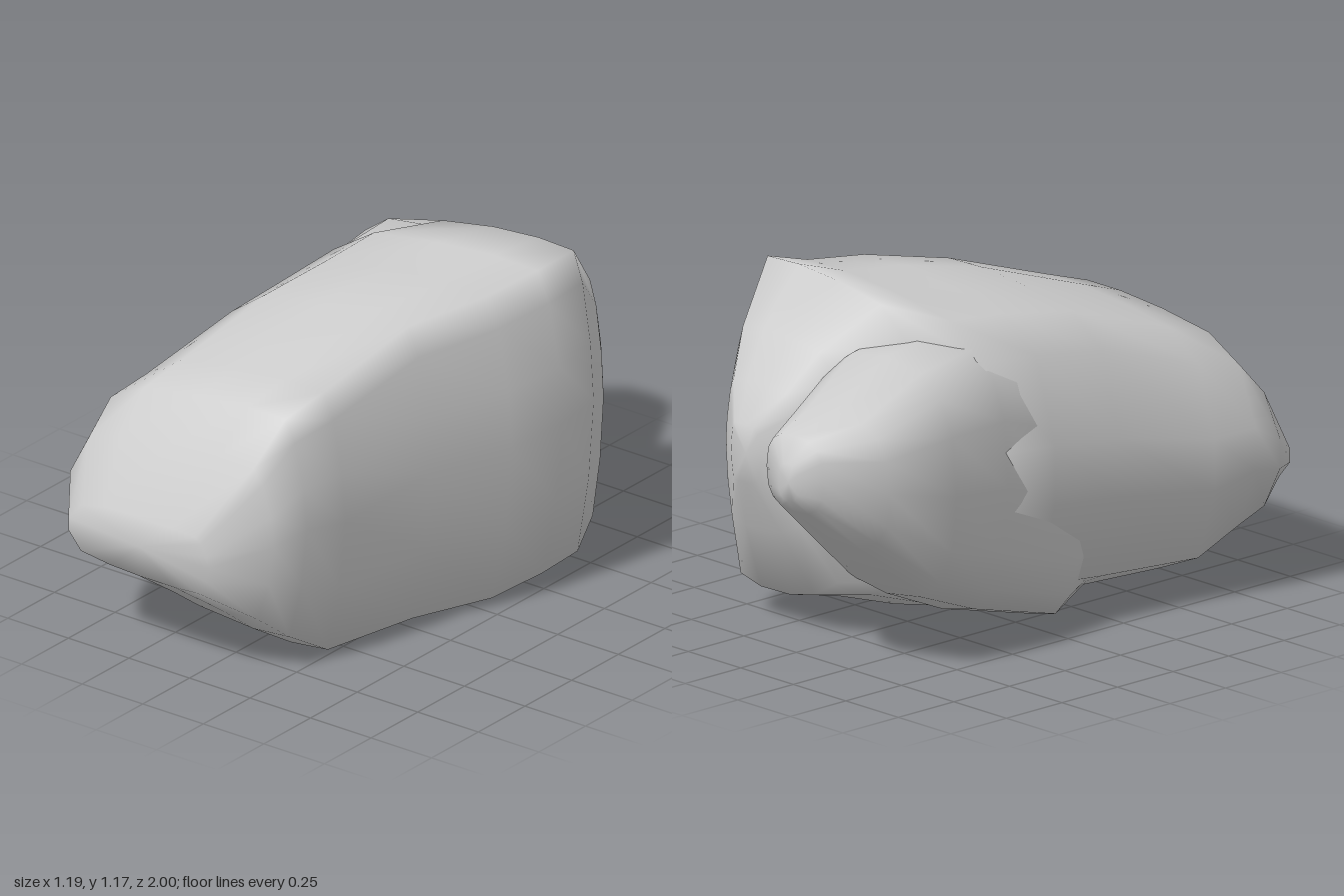
import * as THREE from 'three';

// Outlines in the range -1..1, anticlockwise from the left (+x) flank
const BOXY = [
  [1, 0.05], [0.97, 0.4], [0.89, 0.78], [0.8, 0.97], [0.45, 1], [0, 1], [-0.5, 0.96], [-0.82, 0.77],
  [-1, 0.2], [-1, -0.22], [-0.82, -0.8], [-0.4, -0.95], [0, -1], [0.5, -1], [0.84, -0.94], [0.95, -0.45],
];
const soft = (v) => Math.sign(v) * Math.pow(Math.abs(v), 0.75);
const ROUND = BOXY.map((_, j) => {
  const a = (j / BOXY.length) * Math.PI * 2;
  return [soft(Math.cos(a)), soft(Math.sin(a))];
});

// Cross-sections joined front to back: [z, xMin, xMax, yMin, yMax, flare]
// flare makes the section taller towards +x
function loft(name, outline, sections) {
  const n = outline.length, pos = [], idx = [];
  for (const [z, x0, x1, y0, y1, flare] of sections) {
    for (const [u, v] of outline) {
      const dx = u * (x1 - x0) / 2;
      pos.push((x0 + x1) / 2 + dx, (y0 + y1) / 2 + v * ((y1 - y0) / 2 + flare * dx), z);
    }
  }
  const last = (sections.length - 1) * n;
  for (const s of [sections[0], sections[sections.length - 1]]) {
    pos.push((s[1] + s[2]) / 2, (s[3] + s[4]) / 2, s[0]);
  }
  const front = last + n, back = front + 1;
  for (let j = 0; j < n; j++) {
    const k = (j + 1) % n;
    idx.push(front, j, k, back, last + k, last + j);
    for (let i = 0; i < last; i += n) {
      const a = i + j, b = i + k, c = a + n, d = b + n;
      idx.push(a, c, b, b, c, d);
    }
  }
  const geo = new THREE.BufferGeometry();
  geo.setAttribute('position', new THREE.Float32BufferAttribute(pos, 3));
  geo.setIndex(idx);
  geo.computeVertexNormals();
  const mesh = new THREE.Mesh(geo, new THREE.MeshStandardMaterial({ color: 0xcccccc }));
  mesh.name = name;
  return mesh;
}

export function createModel() {
  const group = new THREE.Group();
  group.name = 'rock';

  // Main mass: blunt front, broad middle, then narrowing into the tall left rear lobe
  group.add(loft('mainBoulder', BOXY, [
    [1.0, -0.5, 0.08, 0.32, 0.53, 0],
    [0.86, -0.6, 0.24, 0.22, 0.75, 0.05],
    [0.76, -0.59, 0.3, 0.14, 0.9, 0.08],
    [0.6, -0.565, 0.335, 0.04, 0.95, 0.08],
    [0.23, -0.5, 0.4, 0.03, 1.07, 0.08],
    [-0.04, -0.48, 0.53, 0.04, 1.11, 0.08],
    [-0.26, -0.47, 0.57, 0.06, 1.13, 0.08],
    [-0.4, -0.24, 0.59, 0.09, 1.17, 0.08],
    [-0.57, -0.06, 0.5, 0.12, 1.0, 0.02],
    [-0.68, 0.03, 0.41, 0.36, 0.86, 0],
    [-0.76, 0.16, 0.3, 0.54, 0.74, 0],
  ]));

  // Right rear lobe: lower, tapering to a rounded end
  group.add(loft('rearLobe', ROUND, [
    [0.4, -0.35, -0.1, 0.15, 0.7, 0],
    [0.1, -0.46, 0.03, 0.01, 0.92, 0],
    [-0.25, -0.48, 0.15, 0.09, 1.05, 0.04],
    [-0.53, -0.53, 0.14, 0.21, 1.02, 0],
    [-0.8, -0.5, 0.02, 0.44, 0.9, 0],
    [-0.95, -0.34, -0.07, 0.58, 0.84, 0],
    [-1.0, -0.27, -0.18, 0.63, 0.76, 0],
  ]));

  return group;
}
